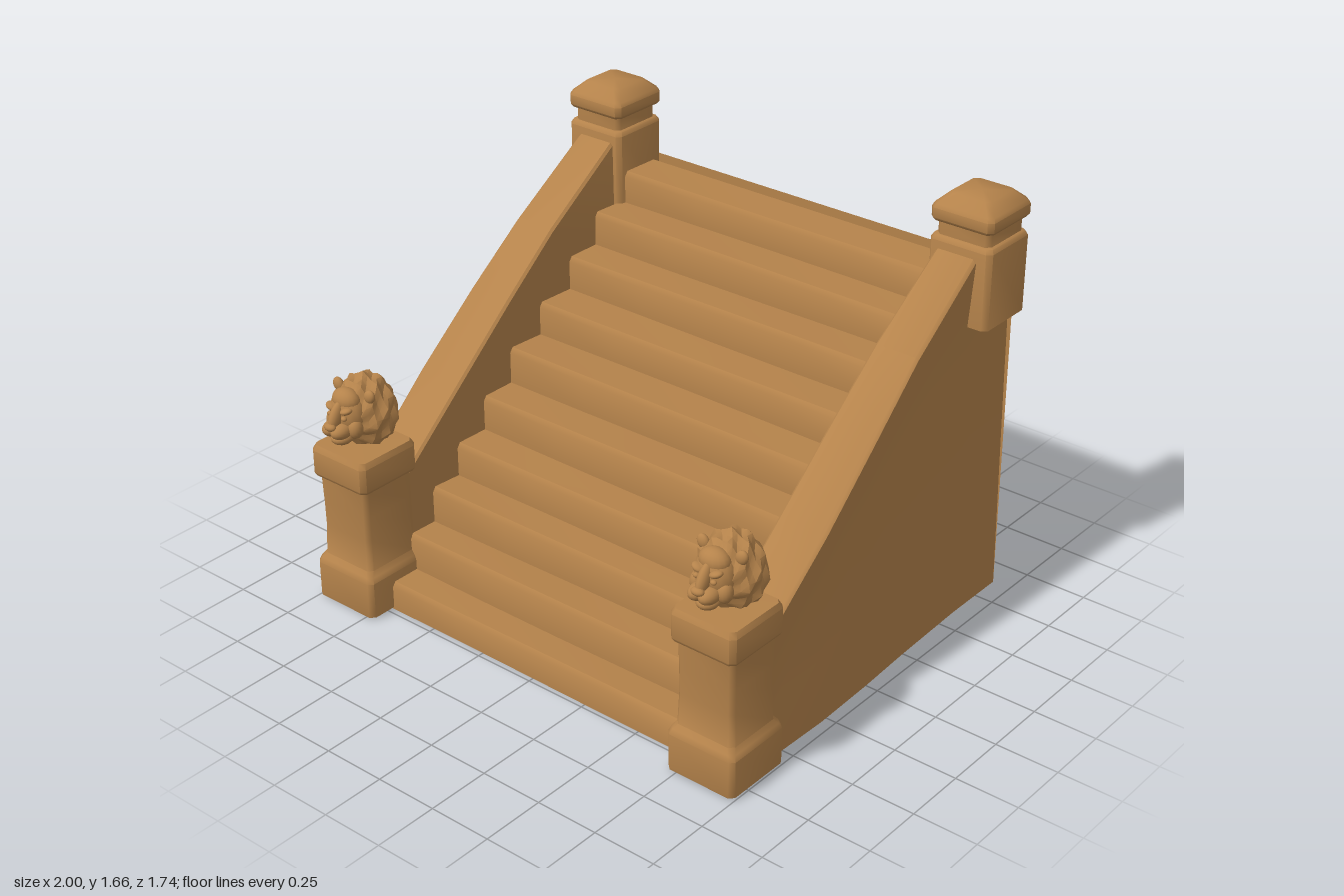
import * as THREE from 'three';
import { toCreasedNormals } from 'three/addons/utils/BufferGeometryUtils.js';

const stone = new THREE.MeshStandardMaterial({ color: 0xb5834b, side: THREE.DoubleSide });
stone.name = 'sandstone';

function addMesh(parent, name, geometry) {
  const mesh = new THREE.Mesh(geometry, stone);
  mesh.name = name;
  parent.add(mesh);
  return mesh;
}

// Skin a surface over a list of equal-length cross-sections of [x, y, z]
function loft(sections, crease = 0.6) {
  const n = sections[0].length, index = [];
  for (let i = 0; i < sections.length - 1; i++) {
    for (let j = 0; j < n - 1; j++) {
      const a = i * n + j, b = a + n;
      index.push(a, a + 1, b, b, a + 1, b + 1);
    }
  }
  const g = new THREE.BufferGeometry();
  g.setAttribute('position', new THREE.Float32BufferAttribute(sections.flat(2), 3));
  g.setIndex(index);
  return toCreasedNormals(g, crease);
}

// Square post with chamfered corners from rings of [halfX, halfZ, y]
function post(rings) {
  return loft(rings.map(([hx, hz, y]) => {
    const c = Math.min(0.018, hx * 0.3), ring = [];
    for (const [sx, sz] of [[1, 1], [1, -1], [-1, -1], [-1, 1]]) {
      const a = [sx * hx, y, sz * (hz - c)], b = [sx * (hx - c), y, sz * hz];
      ring.push(...(sx * sz > 0 ? [b, a] : [a, b]));
    }
    return [...ring, ring[0]];
  }), 0.85);
}

function blob(parent, name, size, pos, tilt = 0) {
  const m = addMesh(parent, name, new THREE.SphereGeometry(1, 16, 12));
  m.scale.set(...size);
  m.position.set(...pos);
  m.rotation.x = tilt;
  return m;
}

// Lion head, origin at the middle of its base
function lionHead() {
  const head = new THREE.Group();
  head.name = 'lionHead';
  const g = new THREE.SphereGeometry(1, 28, 14).rotateX(Math.PI / 2);
  const p = g.attributes.position;
  for (let i = 0; i < p.count; i++) {
    const x = p.getX(i), y = p.getY(i), z = p.getZ(i);
    const around = Math.atan2(y, x), rim = Math.hypot(x, y);
    const k = 1 + 0.055 * rim * Math.sin(9 * around + 7 * z) + 0.035 * rim * Math.cos(14 * z);
    p.setXYZ(i, x * k * 0.122 * (1 - 0.18 * y), y * k * 0.137 + 0.137, z * k * 0.115 - 0.008);
  }
  g.deleteAttribute('normal');
  g.deleteAttribute('uv');
  addMesh(head, 'mane', toCreasedNormals(g, 0.5));
  blob(head, 'face', [0.078, 0.088, 0.06], [0, 0.15, 0.075]);
  blob(head, 'forehead', [0.06, 0.045, 0.045], [0, 0.205, 0.08]);
  blob(head, 'noseBridge', [0.022, 0.062, 0.03], [0, 0.157, 0.135], -0.5);
  blob(head, 'nose', [0.026, 0.015, 0.018], [0, 0.127, 0.168]);
  blob(head, 'jaw', [0.04, 0.026, 0.045], [0, 0.063, 0.112]);
  for (const s of [-1, 1]) {
    blob(head, 'muzzle', [0.034, 0.03, 0.048], [s * 0.022, 0.104, 0.132]);
    blob(head, 'brow', [0.026, 0.013, 0.022], [s * 0.036, 0.182, 0.118]).rotation.z = s * 0.35;
    blob(head, 'eye', [0.012, 0.009, 0.01], [s * 0.036, 0.157, 0.131]);
    blob(head, 'cheek', [0.03, 0.04, 0.03], [s * 0.055, 0.11, 0.095]);
    blob(head, 'ear', [0.024, 0.028, 0.016], [s * 0.08, 0.225, 0.04]).rotation.z = -s * 0.5;
  }
  return head;
}

const stairHalf = 0.734;
const stepTops = [0.12, 0.26, 0.4, 0.535, 0.675, 0.815, 0.945, 1.08, 1.21, 1.332];
const riserZ = [0.73, 0.6, 0.465, 0.33, 0.18, 0.02, -0.15, -0.32, -0.48, -0.64];

// Hollow flight of worn steps, with a slight sag across the width
function staircase() {
  return loft([-1, -0.5, 0, 0.5, 1].map((t) => {
    const line = [];
    stepTops.forEach((top, i) => {
      const sag = 0.004 * Math.sin(2.2 * t + i * 1.9), z = riserZ[i] + sag;
      line.push([t * stairHalf, i ? stepTops[i - 1] - 0.004 : 0, z]);
      line.push([t * stairHalf, top - 0.02 + sag, z]);
      line.push([t * stairHalf, top + sag, z - 0.014]);
    });
    line.push([t * stairHalf, 1.332, -0.81]);
    return line;
  }), 0.7);
}

// Sloping rail and outer wall: [z, topY, grooveY, outerX, innerBottomY]
const wallStations = [
  [0.57, 0.52, 0.32, 0.945, 0.03], [0.28, 0.77, 0.545, 0.953, 0.28],
  [0, 1.01, 0.765, 0.945, 0.53], [-0.25, 1.215, 0.95, 0.932, 0.75],
  [-0.6, 1.455, 1.2, 0.92, 1.06], [-0.865, 1.455, 1.3, 0.92, 1.2],
];
function sideWall(s) {
  return loft(wallStations.map(([z, top, groove, x, low]) => [
    [s * 0.742, low, z], [s * 0.75, top - 0.012, z], [s * 0.76, top, z],
    [s * (x - 0.012), top, z], [s * x, top - 0.012, z],
    [s * (x - 0.018), groove, z], [s * (x - 0.004), groove * 0.5, z],
    [s * (x + 0.005), 0, z - (z < -0.8 ? 0.01 : 0)],
  ]), 0.7);
}

export function createModel() {
  const model = new THREE.Group();
  model.name = 'stoneStaircase';
  addMesh(model, 'steps', staircase());

  // Flat wall closing the back
  addMesh(model, 'backWall', loft([-1, 1].map((s) => [
    [s * 0.925, 0, -0.875], [s * 0.92, 1.338, -0.866],
  ])));

  for (const s of [-1, 1]) {
    const side = new THREE.Group();
    side.name = s > 0 ? 'leftSide' : 'rightSide';
    model.add(side);
    addMesh(side, 'railWall', sideWall(s));

    // Front pedestal with waisted shaft, open underneath
    addMesh(side, 'pedestal', post([
      [0.144, 0.143, 0.008], [0.145, 0.145, 0.02], [0.145, 0.145, 0.155], [0.137, 0.137, 0.176],
      [0.124, 0.122, 0.195], [0.12, 0.117, 0.32], [0.121, 0.118, 0.42], [0.124, 0.121, 0.53],
      [0.132, 0.135, 0.533], [0.138, 0.141, 0.545], [0.138, 0.141, 0.638],
      [0.128, 0.13, 0.66], [0, 0, 0.662],
    ])).position.set(s * 0.854, 0, 0.695);
    const lion = lionHead();
    lion.position.set(s * 0.854, 0.658, 0.683);
    side.add(lion);

    // Upper post with neck and hipped cap
    addMesh(side, 'upperPost', post([
      [0.13, 0.13, 1.19], [0.13, 0.13, 1.485], [0.122, 0.122, 1.5],
      [0.111, 0.113, 1.503], [0.111, 0.113, 1.553], [0.122, 0.125, 1.556],
      [0.13, 0.133, 1.568], [0.13, 0.133, 1.605], [0.122, 0.125, 1.62],
      [0.083, 0.085, 1.658], [0, 0, 1.662],
    ])).position.set(s * 0.846, 0, -0.733);
  }
  return model;
}
